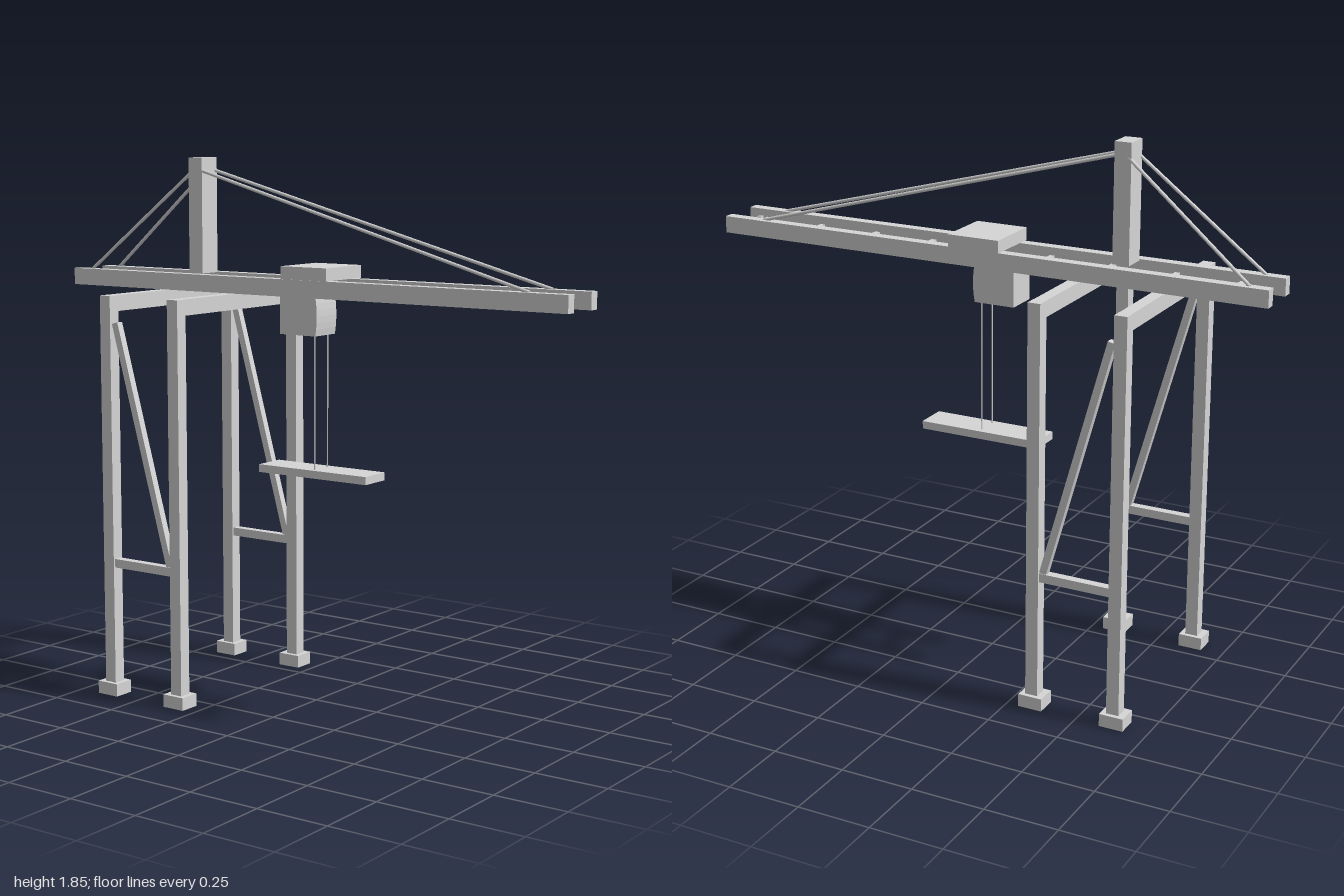
import * as THREE from 'three';

export function createModel() {
  const crane = new THREE.Group();
  crane.name = 'gantryCrane';
  const steel = new THREE.MeshStandardMaterial({ color: 0xd6d6d6 });
  steel.name = 'lightGreySteel';

  const add = (name, geometry) => {
    const mesh = new THREE.Mesh(geometry, steel);
    mesh.name = name;
    crane.add(mesh);
    return mesh;
  };
  const box = (name, w, h, d, x, y, z) => {
    const mesh = add(name, new THREE.BoxGeometry(w, h, d));
    mesh.position.set(x, y, z);
    return mesh;
  };
  // Bar running between two points, turned from the y axis
  const bar = (name, from, to, makeGeometry) => {
    const a = new THREE.Vector3(...from), b = new THREE.Vector3(...to);
    const dir = b.clone().sub(a);
    const mesh = add(name, makeGeometry(dir.length()));
    mesh.position.copy(a).add(b).multiplyScalar(0.5);
    mesh.quaternion.setFromUnitVectors(new THREE.Vector3(0, 1, 0), dir.normalize());
    return mesh;
  };
  const rod = (r) => (length) => new THREE.CylinderGeometry(r, r, length, 8);
  const squareBar = (w) => (length) => new THREE.BoxGeometry(w, length, w);

  // Two portal frames: legs, feet and top beam
  const legX = 0.333;
  for (const z of [-0.333, -0.627]) {
    for (const side of [-1, 1]) {
      box('leg', 0.044, 1.352, 0.044, side * legX, 0.716, z);
      box('foot', 0.074, 0.044, 0.084, side * legX, 0.022, z - 0.002);
    }
    box('portalBeam', 0.622, 0.054, 0.042, 0, 1.365, z);
  }

  for (const side of [-1, 1]) {
    // Side bracing between front and rear legs
    box('sideBrace', 0.03, 0.03, 0.25, side * legX, 0.468, -0.48);
    bar('diagonalBrace', [side * legX, 0.48, -0.365], [side * legX, 1.3, -0.593], squareBar(0.025));

    // Long boom girders
    box('boomGirder', 0.037, 0.058, 2, side * 0.075, 1.427, 0);

    // Stays from the mast head to the boom
    const head = [side * 0.035, 1.816, -0.485];
    bar('frontStay', head, [side * 0.073, 1.455, 0.855], rod(0.006));
    bar('rearStay', head, [side * 0.073, 1.455, -0.93], rod(0.006));

    // Hoist ropes
    bar('hoistRope', [side * 0.037, 0.81, 0.02], [side * 0.037, 1.457, 0.02], rod(0.0025));
  }

  // Cross ties between the girders
  for (let i = 0; i < 9; i++) {
    box('crossTie', 0.116, 0.018, 0.018, 0, 1.42, 0.92 - i * 0.2225);
  }
  box('tipLug', 0.016, 0.016, 0.016, 0, 1.437, 0.92);

  // Mast
  box('mast', 0.083, 0.397, 0.058, 0, 1.6545, -0.482);

  // Trolley and spreader
  box('trolley', 0.204, 0.043, 0.185, 0, 1.4785, 0.018);
  box('spreader', 0.114, 0.027, 0.44, 0, 0.801, 0.02);

  // Operator cabin with a slightly bowed front; profile drawn in (z, y)
  const profile = new THREE.Shape();
  profile.moveTo(-0.109, 1.268);
  profile.lineTo(0.036, 1.268);
  profile.quadraticCurveTo(0.048, 1.334, 0.036, 1.4);
  profile.lineTo(-0.109, 1.4);
  const cabin = add('cabin', new THREE.ExtrudeGeometry(profile, { depth: 0.114, bevelEnabled: false, curveSegments: 6 }));
  cabin.rotation.y = -Math.PI / 2;
  cabin.position.x = 0.057;

  return crane;
}
